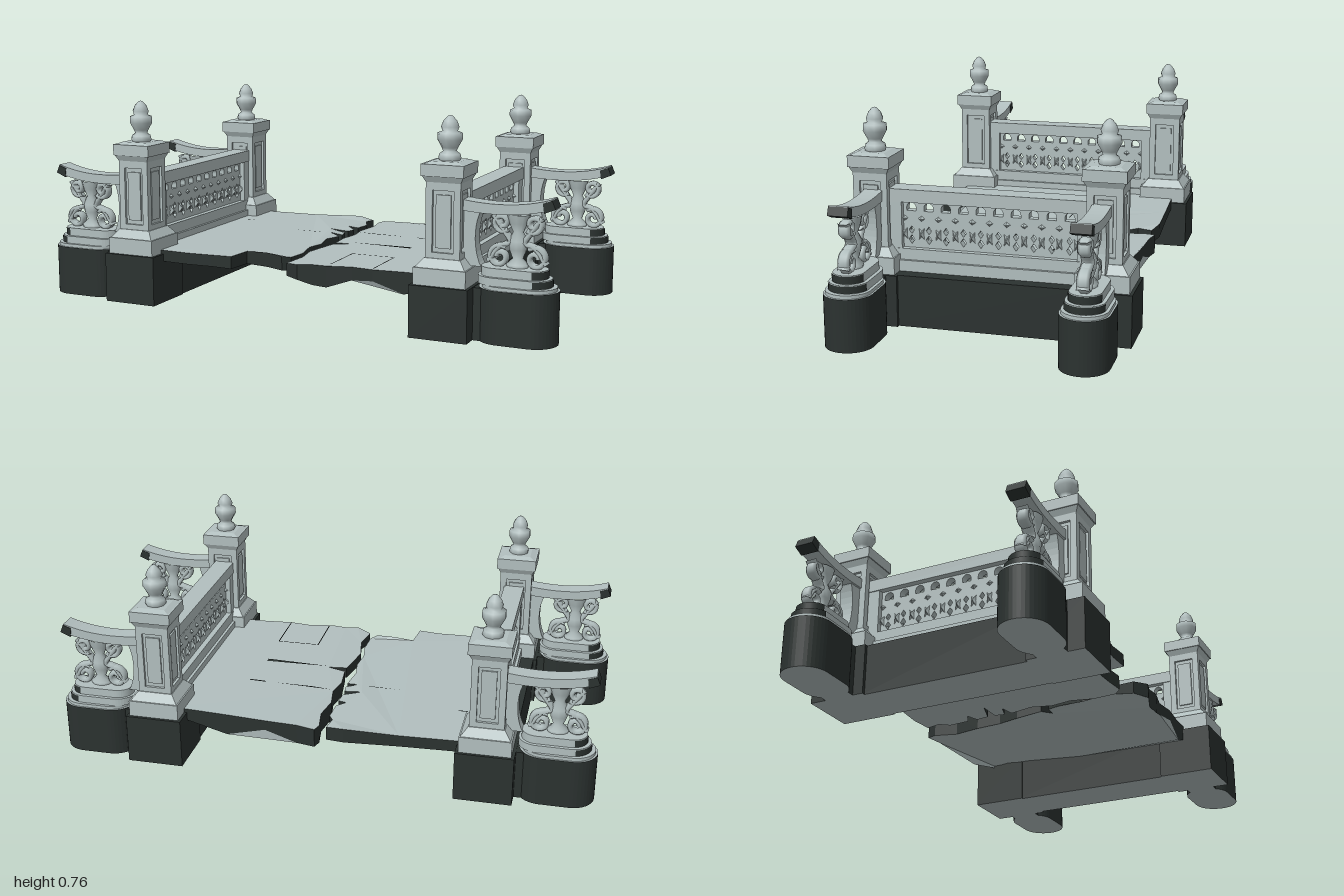
import * as THREE from 'three';

const stone = new THREE.MeshStandardMaterial({ color: 0xb2bfbf });
stone.name = 'paleStone';
const dark = new THREE.MeshStandardMaterial({ color: 0x2b3230 });
dark.name = 'darkStone';
const darkSides = [stone, dark]; // extrusions: pale faces, dark edges
const darkBlock = [dark, dark, dark, stone, dark, dark]; // boxes: pale underside

function add(parent, name, geometry, material, x = 0, y = 0, z = 0) {
  const mesh = new THREE.Mesh(geometry, material);
  mesh.name = name;
  mesh.position.set(x, y, z);
  parent.add(mesh);
  return mesh;
}
const box = (parent, name, mat, w, y0, y1, d, x = 0, z = 0) =>
  add(parent, name, new THREE.BoxGeometry(w, y1 - y0, d), mat, x, (y0 + y1) / 2, z);
const outline = (pts) => new THREE.Shape(pts.map(([x, y]) => new THREE.Vector2(x, y)));
const rect = (x0, y0, x1, y1) => outline([[x0, y0], [x1, y0], [x1, y1], [x0, y1]]);
const extrude = (shape, depth, curveSegments = 10) =>
  new THREE.ExtrudeGeometry(shape, { depth, bevelEnabled: false, curveSegments });

// Four-sided tapering block for mouldings
function taper(parent, name, bottom, top, y0, y1) {
  const g = new THREE.CylinderGeometry(top / Math.SQRT2, bottom / Math.SQRT2, y1 - y0, 4).toNonIndexed();
  g.rotateY(Math.PI / 4);
  g.computeVertexNormals();
  return add(parent, name, g, stone, 0, (y0 + y1) / 2, 0);
}

// Square pillar with framed panels, cap and bud finial
function makePillar() {
  const g = new THREE.Group();
  g.name = 'pillar';
  box(g, 'footing', darkBlock, 0.21, 0, 0.185, 0.21);
  box(g, 'plinth', stone, 0.188, 0.185, 0.245, 0.188);
  taper(g, 'plinthMoulding', 0.178, 0.13, 0.245, 0.275);
  box(g, 'shaft', stone, 0.104, 0.26, 0.55, 0.104);
  const frame = rect(-0.062, 0.265, 0.062, 0.54);
  frame.holes.push(rect(-0.038, 0.295, 0.038, 0.508));
  const panel = rect(-0.027, 0.31, 0.027, 0.493);
  for (let i = 0; i < 4; i++) {
    const side = new THREE.Group();
    side.name = 'panelSide';
    side.rotation.y = (i * Math.PI) / 2;
    add(side, 'panelFrame', extrude(frame, 0.011), stone, 0, 0, 0.051);
    add(side, 'raisedPanel', extrude(panel, 0.007), stone, 0, 0, 0.051);
    g.add(side);
  }
  taper(g, 'capMoulding', 0.124, 0.145, 0.535, 0.556);
  box(g, 'cap', stone, 0.152, 0.556, 0.597, 0.152);
  taper(g, 'capTop', 0.14, 0.1, 0.597, 0.605);
  const bud = [[0.034, 0.6], [0.039, 0.612], [0.036, 0.626], [0.023, 0.636], [0.028, 0.648], [0.043, 0.675],
    [0.042, 0.698], [0.026, 0.704], [0.031, 0.718], [0.023, 0.738], [0.009, 0.754], [0, 0.757]];
  add(g, 'finial', new THREE.LatheGeometry(bud.map(([r, y]) => new THREE.Vector2(r, y)), 10), stone);
  return g;
}

// Plan rounded at both ends
function roundedPlan(x0, x1, r) {
  const s = new THREE.Shape();
  s.absarc(x1 - r, 0, r, -Math.PI / 2, Math.PI / 2, false);
  s.absarc(x0 + r, 0, r, Math.PI / 2, Math.PI * 1.5, false);
  return s;
}
function slab(parent, name, shape, mat, y0, y1) {
  return add(parent, name, extrude(shape, y1 - y0).rotateX(-Math.PI / 2), mat, 0, y0, 0);
}
// Spiral scroll in the xy plane, flattened into a wide band
function volute(parent, cx, cy, r, start, dir) {
  const pts = [];
  for (let i = 0; i <= 18; i++) {
    const t = i / 18, a = start + dir * t * Math.PI * 2.7, k = r * (1 - 0.75 * t);
    pts.push(new THREE.Vector3(cx + Math.cos(a) * k, cy + Math.sin(a) * k, 0));
  }
  const g = new THREE.TubeGeometry(new THREE.CatmullRomCurve3(pts), 40, 0.01, 6).scale(1, 1, 2.2);
  add(parent, 'volute', g, stone);
}

// Rounded pier with openwork scrolls and a sweeping handrail, reaching along +x
function makeWing() {
  const g = new THREE.Group();
  g.name = 'scrollWing';
  slab(g, 'pier', roundedPlan(0.725, 1.0, 0.085), darkSides, 0, 0.185);
  box(g, 'pierNeck', darkBlock, 0.08, 0, 0.183, 0.11, 0.74);
  slab(g, 'pierTop', roundedPlan(0.735, 0.992, 0.079), stone, 0.185, 0.197);
  [[0.72, 0.975, 0.068, 0.197, 0.225], [0.73, 0.96, 0.055, 0.225, 0.255]].forEach(([x0, x1, r, y0, y1]) => {
    slab(g, 'step', roundedPlan(x0, x1, r), stone, y0, y1);
    const rim = new THREE.CylinderGeometry(r + 0.003, r + 0.003, y1 - y0 - 0.004, 12, 1, true, 0.25, Math.PI - 0.5);
    add(g, 'weatheredRim', rim, dark, x1 - r, (y0 + y1) / 2, 0);
  });

  const rail = new THREE.Shape();
  rail.moveTo(0.66, 0.478);
  rail.quadraticCurveTo(0.84, 0.452, 0.975, 0.497);
  rail.lineTo(0.985, 0.466);
  rail.quadraticCurveTo(0.86, 0.42, 0.66, 0.44);
  add(g, 'handrail', extrude(rail, 0.066), stone, 0, 0, -0.033);
  const end = outline([[0.945, 0.4825], [0.976, 0.494], [0.988, 0.465], [0.95, 0.449]]);
  add(g, 'weatheredRailEnd', extrude(end, 0.07), dark, 0, 0, -0.035);

  // Curved web against the pillar
  const web = new THREE.Shape();
  web.moveTo(0.66, 0.25);
  web.lineTo(0.735, 0.25);
  web.bezierCurveTo(0.71, 0.29, 0.7, 0.39, 0.735, 0.45);
  web.lineTo(0.66, 0.45);
  add(g, 'curvedWeb', extrude(web, 0.05), stone, 0, 0, -0.025);

  // Scrolls mirrored about the centre of the openwork
  const c = 0.855;
  for (const s of [-1, 1]) {
    const a = (t) => (s > 0 ? t : Math.PI - t);
    volute(g, c + s * 0.062, 0.288, 0.04, a(2.2), -s);
    volute(g, c + s * 0.055, 0.405, 0.032, a(-2.4), s);
    const arm = new THREE.CatmullRomCurve3([[0.085, 0.43], [0.045, 0.375], [0.025, 0.34], [0.06, 0.325], [0.1, 0.27]]
      .map(([x, y]) => new THREE.Vector3(c + s * x, y, 0)));
    add(g, 'scrollArm', new THREE.TubeGeometry(arm, 20, 0.01, 6).scale(1, 1, 2.2), stone);
  }
  const vase = [[0.035, 0.25], [0.04, 0.265], [0.018, 0.285], [0.03, 0.315], [0.034, 0.345], [0.018, 0.375],
    [0.032, 0.405], [0.04, 0.435]].map(([r, y]) => new THREE.Vector2(r, y));
  add(g, 'centreVase', new THREE.LatheGeometry(vase, 10).scale(1, 1, 0.75), stone, c, 0, 0);
  return g;
}

// Pierced parapet running along z between two pillars
function makeParapet() {
  const g = new THREE.Group();
  g.name = 'parapet';
  box(g, 'wallBase', darkBlock, 0.19, 0, 0.185, 0.66, 0.003);
  box(g, 'bottomCourse', stone, 0.096, 0.185, 0.225, 0.68);
  box(g, 'bottomRail', stone, 0.074, 0.225, 0.265, 0.7);
  box(g, 'topRail', stone, 0.078, 0.432, 0.478, 0.72);
  for (const s of [-1, 1]) box(g, 'endPost', stone, 0.07, 0.26, 0.44, 0.05, 0, s * 0.338);

  const lattice = rect(-0.32, 0.26, 0.32, 0.436);
  const n = 10, step = 0.063;
  const diamond = (x, y, w, h) => outline([[x - w, y], [x, y - h], [x + w, y], [x, y + h]]);
  for (let i = 0; i < n; i++) {
    const x = (i - (n - 1) / 2) * step;
    const arch = new THREE.Path();
    arch.moveTo(x - 0.017, 0.397);
    arch.lineTo(x + 0.017, 0.397);
    arch.absarc(x, 0.409, 0.017, 0, Math.PI, false);
    lattice.holes.push(arch, diamond(x, 0.328, 0.01, 0.014), diamond(x, 0.294, 0.011, 0.016));
  }
  add(g, 'piercedPanel', extrude(lattice, 0.03, 6).translate(0, 0, -0.015).rotateY(Math.PI / 2), stone);

  // Carved leaves between the openings, with buds on the band above
  for (let i = 0; i <= n; i++) {
    const z = (i - n / 2) * step * 0.98;
    for (const tilt of [-0.45, 0.45]) {
      const leaf = new THREE.OctahedronGeometry(1).scale(0.028, 0.05, 0.018);
      add(g, 'carvedLeaf', leaf, stone, 0, 0.315, z).rotation.x = tilt;
    }
    add(g, 'carvedBud', new THREE.OctahedronGeometry(1).scale(0.026, 0.024, 0.03), stone, 0, 0.37, z);
  }
  return g;
}

// Broken deck: surface height and ragged underside follow simple rules
const sag = (x) => (x < 0 ? 0.008 * Math.exp(-(((x + 0.12) / 0.1) ** 2)) - 0.02 * Math.exp(x / 0.025) : -0.008 * Math.exp(-x / 0.08));
const under = (x, z) => x < 0
  ? 0.157 - 0.018 * Math.exp(x / 0.06)
  : 0.14 + 0.022 * Math.sin(x * 19 + z * 5) + (x > 0.45 ? 0.012 : 0);
function makeDeck(name, plan) {
  const g = new THREE.Group();
  g.name = name;
  const body = extrude(outline(plan.map(([x, z]) => [x, -z])), 0.04).rotateX(-Math.PI / 2);
  const p = body.attributes.position;
  for (let i = 0; i < p.count; i++) {
    const x = p.getX(i);
    p.setY(i, p.getY(i) > 0.02 ? 0.2 + sag(x) : under(x, p.getZ(i)));
  }
  body.computeVertexNormals();
  add(g, 'brokenSlab', body, darkSides);
  return g;
}
// Thin dark plate for a narrow crack in the paving
function crack(parent, pts) {
  add(parent, 'crack', new THREE.ShapeGeometry(outline(pts.map(([x, z]) => [x, -z]))).rotateX(-Math.PI / 2), dark, 0, 0.203, 0);
}

export function createModel() {
  const model = new THREE.Group();
  model.name = 'brokenBridge';
  for (const sx of [1, -1]) {
    for (const sz of [1, -1]) {
      const pillar = makePillar();
      pillar.position.set(sx * 0.613, 0, sz * 0.414);
      const wing = makeWing();
      wing.rotation.y = sx > 0 ? 0 : Math.PI;
      wing.position.z = sz * 0.403;
      model.add(pillar, wing);
    }
    const parapet = makeParapet();
    parapet.rotation.y = sx > 0 ? 0 : Math.PI;
    parapet.position.x = sx * 0.607;
    model.add(parapet);
  }

  const right = makeDeck('rightDeck', [[-0.57, -0.45], [-0.52, -0.455], [-0.3, -0.465], [-0.1, -0.475], [-0.03, -0.455],
    [-0.04, -0.4], [-0.02, -0.36], [-0.025, -0.28], [-0.06, -0.262], [-0.025, -0.24], [-0.03, -0.19], [-0.1, -0.17],
    [-0.03, -0.16], [-0.025, -0.12], [-0.07, -0.108], [-0.025, -0.09], [-0.04, 0], [-0.025, 0.08], [-0.035, 0.16],
    [-0.02, 0.25], [-0.025, 0.34], [-0.05, 0.365], [-0.12, 0.352], [-0.205, 0.345], [-0.215, 0.45], [-0.3, 0.445],
    [-0.4, 0.45], [-0.57, 0.44]]);
  crack(right, [[-0.515, -0.233], [-0.48, -0.233], [-0.48, -0.228], [-0.515, -0.228]]);
  crack(right, [[-0.24, -0.112], [-0.07, -0.111], [-0.07, -0.105]]);
  const left = makeDeck('leftDeck', [[0, -0.44], [0.01, -0.475], [0.08, -0.465], [0.2, -0.462], [0.35, -0.45], [0.57, -0.435],
    [0.57, 0.41], [0.45, 0.41], [0.335, 0.42], [0.25, 0.41], [0.16, 0.43], [0.1, 0.425], [0.05, 0.44], [-0.01, 0.405],
    [0.005, 0.3], [-0.015, 0.2], [0, 0.1], [0.01, 0.05], [0.08, 0.033], [0.01, 0.018],
    [0, -0.08], [0.015, -0.16], [0, -0.25], [0.015, -0.35]]);
  crack(left, [[0.08, 0.03], [0.33, 0.022], [0.33, 0.042], [0.2, 0.036]]);
  crack(left, [[0.02, -0.168], [0.24, -0.158], [0.1, -0.157]]);
  crack(left, [[0.28, -0.16], [0.35, -0.157], [0.35, -0.15], [0.29, -0.152]]);
  crack(left, [[0.17, 0.215], [0.335, 0.213], [0.335, 0.217], [0.17, 0.219]]);
  for (const x of [0.167, 0.333]) crack(left, [[x, 0.215], [x + 0.004, 0.215], [x + 0.004, 0.41], [x, 0.41]]);
  model.add(right, left);
  return model;
}
